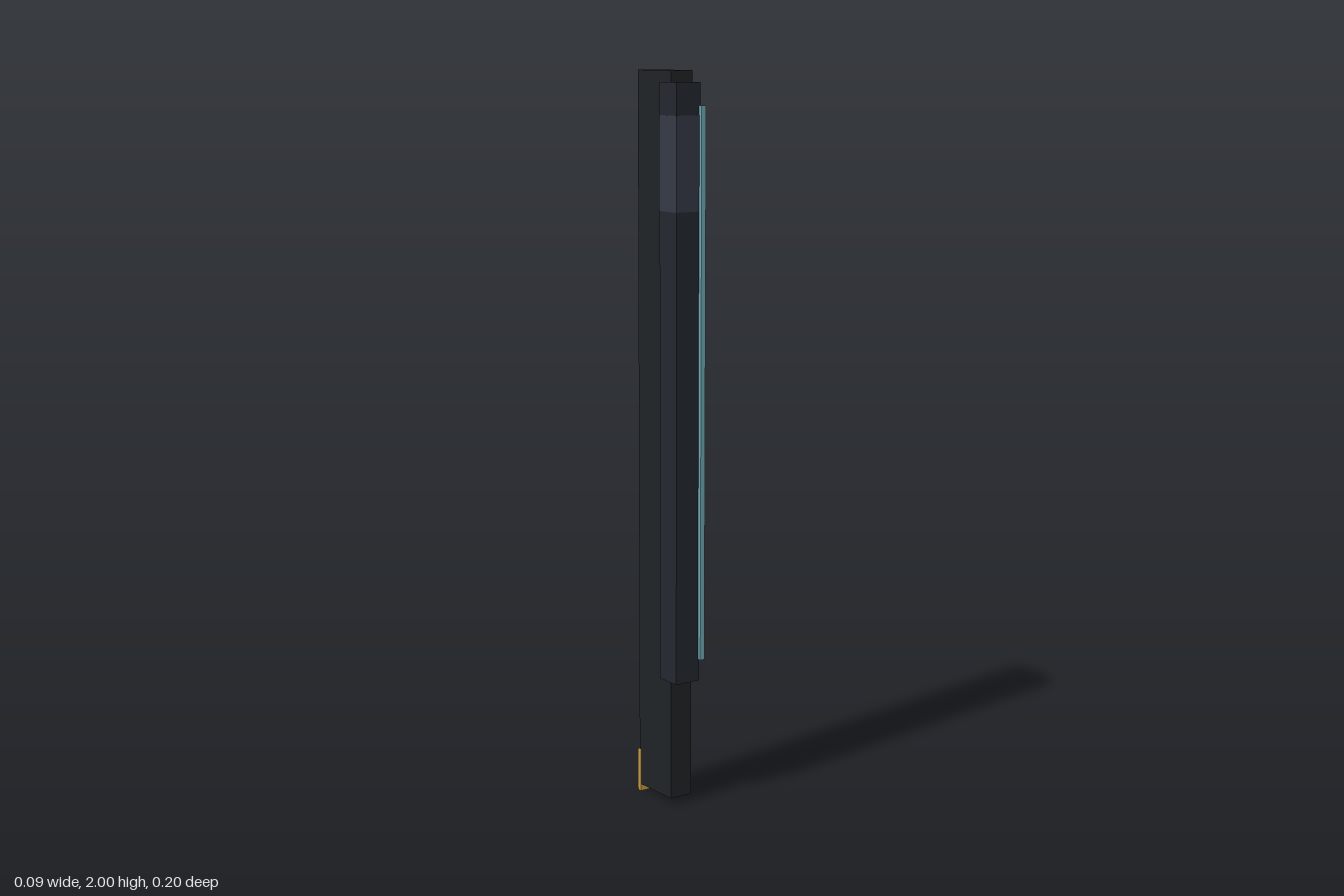
import * as THREE from 'three';

// Box given by its min and max on each axis
function block(name, color, [x0, x1], [y0, y1], [z0, z1]) {
  const mesh = new THREE.Mesh(
    new THREE.BoxGeometry(x1 - x0, y1 - y0, z1 - z0),
    new THREE.MeshStandardMaterial({ color })
  );
  mesh.position.set((x0 + x1) / 2, (y0 + y1) / 2, (z0 + z1) / 2);
  mesh.name = name;
  return mesh;
}

export function createModel() {
  const model = new THREE.Group();
  model.name = 'slimColumn';
  model.add(
    // tall main bar
    block('mainBar', 0x1f2326, [-0.039, 0.029], [0.02, 2], [-0.093, 0.058]),
    // casing wrapped around the front edge
    block('frontCasing', 0x23272f, [-0.0435, 0.0335], [0.355, 1.97], [0.013, 0.089]),
    // lighter band near the top of the casing
    block('upperBand', 0x343945, [-0.0445, 0.0345], [1.635, 1.885], [0.012, 0.09]),
    // thin strip along the front left corner
    block('edgeStrip', 0x6fa8b3, [0.029, 0.043], [0.415, 1.91], [0.085, 0.1]),
    // metal plate at the foot of the back
    block('heelPlate', 0xc49a45, [-0.04, 0.03], [0, 0.122], [-0.1, -0.086])
  );
  return model;
}
